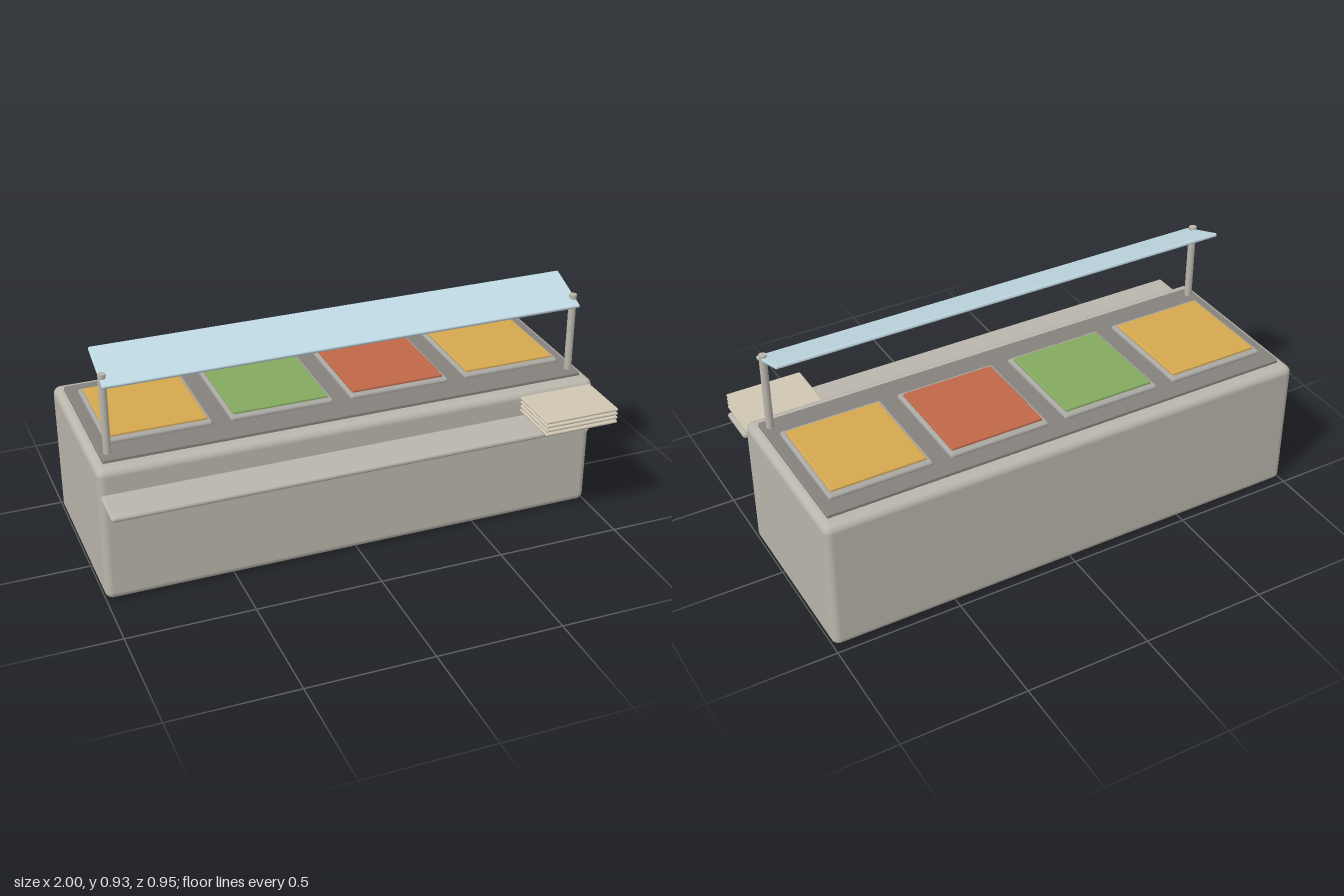
import * as THREE from 'three';
import { RoundedBoxGeometry } from 'three/addons/geometries/RoundedBoxGeometry.js';

const mat = (color) => new THREE.MeshStandardMaterial({ color });

export function createModel() {
  const model = new THREE.Group();
  const steel = mat(0xbab6ac), darkSteel = mat(0x85827c), panSteel = mat(0xa9a7a2);
  const glass = mat(0xbfd8e2), trayMat = mat(0xcfc6b2);

  const add = (name, geometry, material, x, y, z) => {
    const mesh = new THREE.Mesh(geometry, material);
    mesh.name = name;
    mesh.position.set(x, y, z);
    model.add(mesh);
    return mesh;
  };
  // Rounded box given by its x centre, width and y/z ranges
  const slab = (name, material, x, width, [y0, y1], [z0, z1], radius) =>
    add(name, new RoundedBoxGeometry(width, y1 - y0, z1 - z0, 4, radius), material,
      x, (y0 + y1) / 2, (z0 + z1) / 2);

  // Cabinet and the dark counter plate on top
  slab('cabinet', steel, 0, 2, [0, 0.553], [-0.475, 0.255], 0.03);
  slab('counterPlate', darkSteel, 0, 1.93, [0.549, 0.567], [-0.42, 0.2], 0.006);

  // Food pans with their contents
  [0xd6a850, 0x84a95f, 0xbf6748, 0xd6a850].forEach((color, i) => {
    const x = -0.72 + i * 0.48;
    slab('pan', panSteel, x, 0.41, [0.561, 0.583], [-0.35, 0.09], 0.01);
    slab('food', mat(color), x, 0.378, [0.572, 0.593], [-0.328, 0.068], 0.006);
  });

  // Sneeze guard: two posts and a sloped pane
  for (const x of [-0.935, 0.935])
    add('guardPost', new THREE.CylinderGeometry(0.015, 0.015, 0.328, 16), steel, x, 0.724, 0.153);
  const pane = add('guardPane', new RoundedBoxGeometry(1.89, 0.015, 0.207, 3, 0.006), glass, 0, 0.887, 0.1);
  pane.rotation.x = 0.35;

  // Tray rail on round brackets
  slab('trayRail', steel, 0, 2, [0.45, 0.473], [0.277, 0.443], 0.011);
  for (const x of [-0.885, 0, 0.885]) {
    const bracket = add('railBracket', new THREE.CylinderGeometry(0.0125, 0.0125, 0.18, 12), steel, x, 0.4375, 0.323);
    bracket.rotation.x = Math.PI / 2;
  }

  // Stack of trays on the rail
  for (let i = 0; i < 4; i++) {
    const y = 0.473 + i * 0.0172;
    slab('tray', trayMat, 0.832, 0.307, [y, y + 0.011], [0.247, 0.474], 0.005);
  }
  return model;
}
